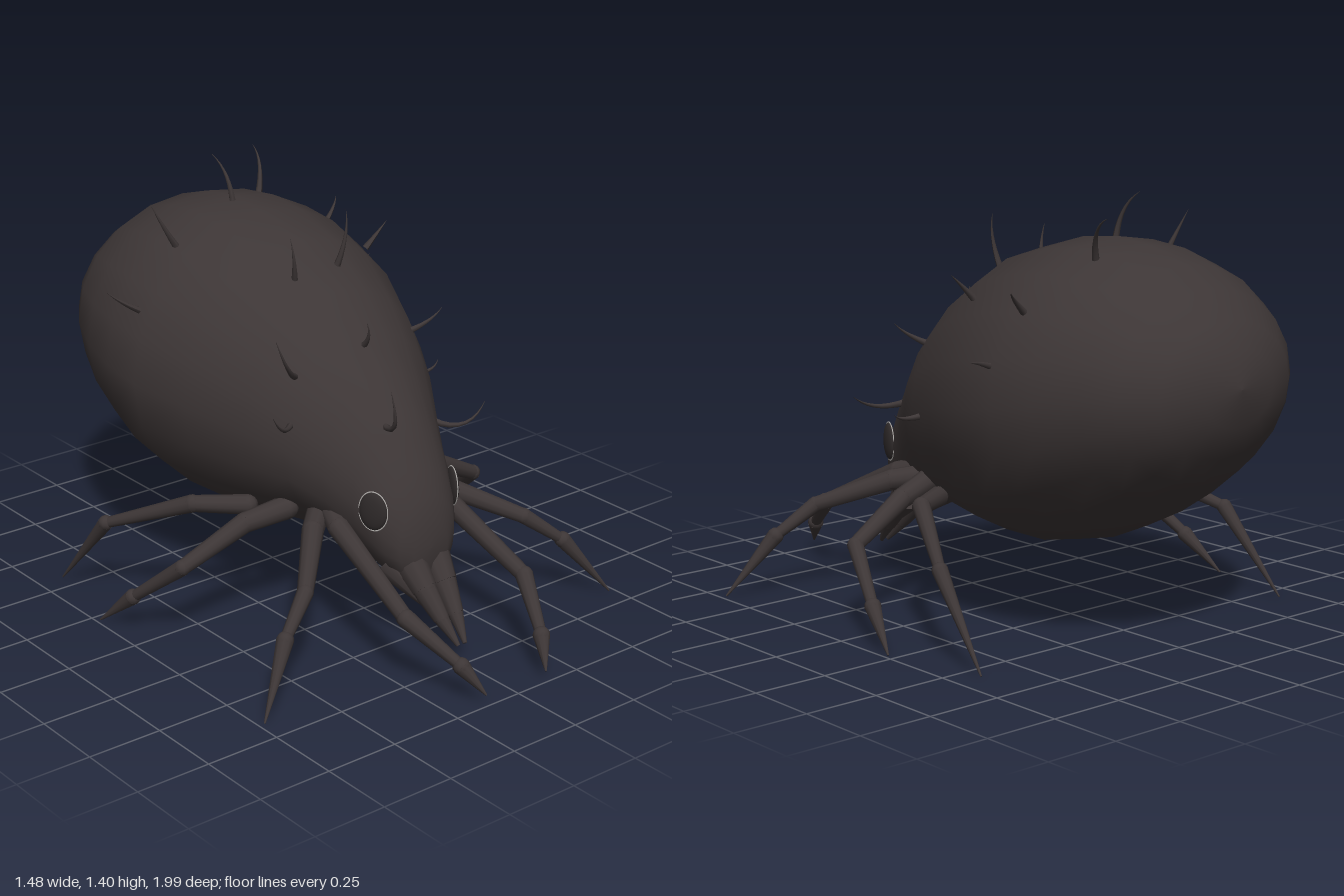
import * as THREE from 'three';

const shell = new THREE.MeshStandardMaterial({ color: 0x3d3636 });
shell.name = 'dark brown shell';
const eyeDark = new THREE.MeshStandardMaterial({ color: 0x302b2b });
eyeDark.name = 'eye dark';
const rimLight = new THREE.MeshStandardMaterial({ color: 0xb8b5b2 });
rimLight.name = 'eye rim grey';

const V = (p, side = 1) => new THREE.Vector3(p[0] * side, p[1], p[2]);

function mesh(name, geometry, material = shell) {
  const m = new THREE.Mesh(geometry, material);
  m.name = name;
  return m;
}

// Smooth skin over elliptical rings: [z, top, bottom, half width]
function loft(rings, sides) {
  const pos = [], index = [];
  rings.forEach(([z, top, bottom, w], i) => {
    for (let j = 0; j < sides; j++) {
      const a = (j / sides) * Math.PI * 2;
      pos.push(Math.cos(a) * w, (top + bottom) / 2 + Math.sin(a) * (top - bottom) / 2, z);
      if (i === rings.length - 1) continue;
      const p = i * sides + j, q = i * sides + (j + 1) % sides;
      index.push(p, q, p + sides, q, q + sides, p + sides);
    }
  });
  const g = new THREE.BufferGeometry();
  g.setAttribute('position', new THREE.Float32BufferAttribute(pos, 3));
  g.setIndex(index);
  g.computeVertexNormals();
  return g;
}

// Tapered rod between two points
function rod(name, a, b, ra, rb) {
  const d = b.clone().sub(a);
  const m = mesh(name, new THREE.CylinderGeometry(rb, ra, d.length(), 10));
  m.position.copy(a).addScaledVector(d, 0.5);
  m.quaternion.setFromUnitVectors(new THREE.Vector3(0, 1, 0), d.normalize());
  return m;
}

function ball(name, p, r) {
  const m = mesh(name, new THREE.SphereGeometry(r, 10, 8));
  m.position.copy(p);
  return m;
}

// Chain of tapered rods with rounded joints: points and [start, end] radii
function limb(name, points, radii, side) {
  const g = new THREE.Group();
  g.name = name;
  const p = points.map((q) => V(q, side));
  radii.forEach(([ra, rb], i) => {
    g.add(rod('segment', p[i], p[i + 1], ra, rb));
    g.add(ball('joint', p[i], ra));
  });
  return g;
}

// Curved bristle that leaves the skin outwards and bends towards its tip
function bristle(base, tip) {
  const a = V(base), b = V(tip);
  const n = new THREE.Vector3(a.x / 0.28, (a.y - 0.76) / 0.25, (a.z + 0.3) / 0.6).normalize();
  const bend = a.clone().addScaledVector(n, a.distanceTo(b) * 0.6);
  a.addScaledVector(n, -0.015);
  const curve = new THREE.QuadraticBezierCurve3(a, bend, b);
  const steps = 8, sides = 6;
  const g = new THREE.TubeGeometry(curve, steps, 0.012, sides);
  const pos = g.attributes.position, v = new THREE.Vector3();
  for (let i = 0; i < pos.count; i++) {
    const t = Math.floor(i / (sides + 1)) / steps;
    v.fromBufferAttribute(pos, i).lerp(curve.getPointAt(t), t * 0.95);
    pos.setXYZ(i, v.x, v.y, v.z);
  }
  g.computeVertexNormals();
  return mesh('bristle', g);
}

export function createModel() {
  const model = new THREE.Group();
  model.name = 'mite';

  // Body and head in one skin
  model.add(mesh('body', loft([
    [-1, 0.86, 0.86, 0], [-0.985, 0.98, 0.74, 0.15], [-0.93, 1.06, 0.64, 0.28],
    [-0.85, 1.145, 0.55, 0.375], [-0.75, 1.21, 0.465, 0.44], [-0.6, 1.255, 0.37, 0.5],
    [-0.45, 1.27, 0.305, 0.525], [-0.3, 1.255, 0.27, 0.522], [-0.1, 1.2, 0.265, 0.468],
    [0.1, 1.08, 0.285, 0.38], [0.22, 0.975, 0.32, 0.315], [0.33, 0.87, 0.29, 0.245],
    [0.42, 0.765, 0.245, 0.195], [0.47, 0.69, 0.225, 0.175], [0.52, 0.6, 0.215, 0.15],
    [0.56, 0.52, 0.22, 0.115], [0.58, 0.43, 0.26, 0.07], [0.583, 0.35, 0.35, 0],
  ], 20)));

  // Legs: hip, knees, claw base and tip
  const legs = [
    ['frontLeg', [[0.17, 0.44, 0.27], [0.215, 0.41, 0.38], [0.248, 0.245, 0.75], [0.168, 0.125, 0.92], [0.125, 0.04, 0.99]],
      [[0.04, 0.036], [0.036, 0.026], [0.03, 0.018], [0.028, 0.003]]],
    ['secondLeg', [[0.18, 0.42, 0.24], [0.28, 0.4, 0.33], [0.46, 0.31, 0.52], [0.585, 0.21, 0.58], [0.73, 0.01, 0.665]],
      [[0.04, 0.036], [0.036, 0.026], [0.027, 0.018], [0.028, 0.003]]],
    ['thirdLeg', [[0.26, 0.42, 0.17], [0.4, 0.39, 0.13], [0.62, 0.28, 0.09], [0.692, 0.13, -0.09], [0.735, 0.01, -0.22]],
      [[0.04, 0.034], [0.034, 0.025], [0.027, 0.018], [0.027, 0.003]]],
    ['rearLeg', [[0.32, 0.4, 0.04], [0.47, 0.41, -0.06], [0.625, 0.285, -0.34], [0.657, 0.01, -0.57]],
      [[0.034, 0.028], [0.03, 0.018], [0.026, 0.003]]],
  ];
  for (const side of [1, -1]) {
    const prefix = side > 0 ? 'left ' : 'right ';
    for (const [name, points, radii] of legs) model.add(limb(prefix + name, points, radii, side));

    // Pointed mouthparts
    model.add(limb(prefix + 'mouthpart',
      [[0.05, 0.31, 0.52], [0.042, 0.225, 0.6], [0.03, 0.145, 0.67], [0.014, 0.07, 0.735]],
      [[0.06, 0.042], [0.04, 0.026], [0.025, 0.007]], side));
    model.add(rod(prefix + 'palp', V([0.09, 0.29, 0.48], side), V([0.045, 0.18, 0.61], side), 0.055, 0.015));

    // Eye: flattened dome with a thin rim
    const eye = new THREE.Group();
    eye.name = prefix + 'eye';
    const dome = mesh('eyeDome', new THREE.SphereGeometry(1, 20, 12), eyeDark);
    dome.scale.set(0.05, 0.064, 0.016);
    const rim = mesh('eyeRim', new THREE.TorusGeometry(1, 0.035, 6, 32), rimLight);
    rim.scale.set(0.052, 0.066, 0.05);
    eye.add(dome, rim);
    eye.position.set(0.165 * side, 0.49, 0.49);
    eye.rotation.set(0, side * 1.2, side * 0.06, 'YXZ');
    model.add(eye);
  }

  // Bristles: base and tip
  const bristles = new THREE.Group();
  bristles.name = 'bristles';
  const hairs = [
    [-0.475, 1.0, -0.35, -0.57, 1.07, -0.37], [-0.3, 1.18, -0.37, -0.37, 1.32, -0.4],
    [-0.02, 1.265, -0.43, -0.045, 1.41, -0.51], [0.19, 1.235, -0.56, 0.245, 1.36, -0.67],
    [0.37, 1.09, -0.19, 0.45, 1.16, -0.19], [0.42, 1.08, -0.49, 0.52, 1.15, -0.55],
    [0.5, 0.915, -0.43, 0.61, 0.94, -0.47], [-0.1, 1.12, 0.01, -0.125, 1.26, 0.02],
    [0.085, 1.13, 0.0, 0.11, 1.31, 0.01], [-0.01, 0.94, 0.25, -0.03, 1.03, 0.29],
    [-0.25, 0.875, 0.2, -0.36, 1.03, 0.25], [-0.29, 0.73, 0.23, -0.42, 0.81, 0.31],
    [-0.065, 0.73, 0.43, -0.105, 0.88, 0.5], [0.29, 0.89, 0.13, 0.39, 0.96, 0.17],
    [0.22, 0.65, 0.35, 0.4, 0.69, 0.38], [0.41, 0.68, 0.02, 0.52, 0.7, 0.01],
  ];
  for (const h of hairs) bristles.add(bristle(h.slice(0, 3), h.slice(3)));
  model.add(bristles);
  return model;
}
